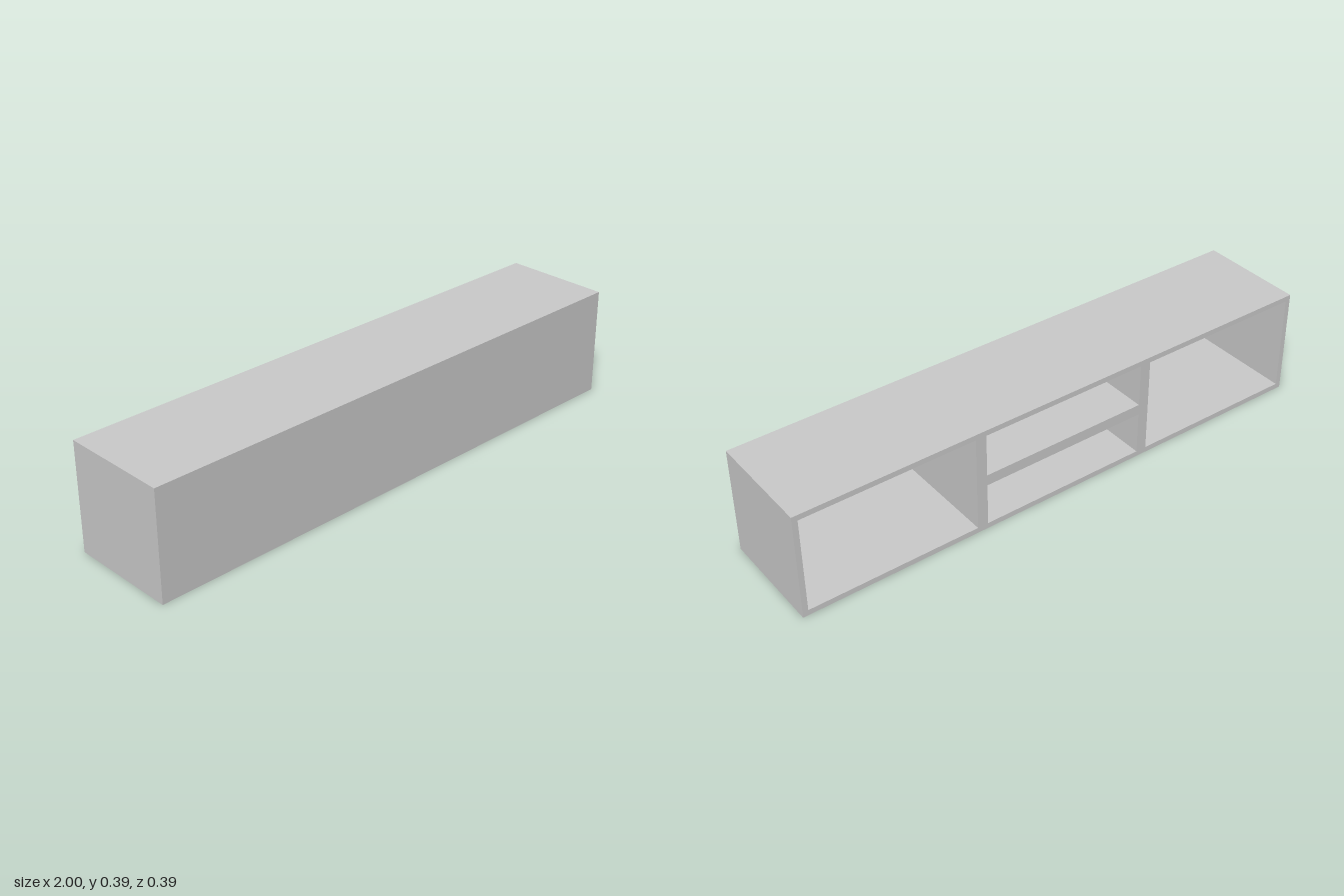
import * as THREE from 'three';

const W = 2, H = 0.392, D = 0.392; // outer size
const T = 0.02;                    // outer board thickness
const DIV = 0.04;                  // divider and shelf thickness
const PANEL = 0.003;               // front panel thickness

// Adds a rectangle to a path, from its lower corner and size
function rect(path, x, y, w, h) {
  path.moveTo(x, y);
  path.lineTo(x + w, y);
  path.lineTo(x + w, y + h);
  path.lineTo(x, y + h);
  path.closePath();
  return path;
}

export function createModel() {
  const group = new THREE.Group();
  group.name = 'shelfUnit';
  const material = new THREE.MeshStandardMaterial({ color: 0xcccccc });

  // Carcass: outer boards, dividers and middle shelf, open at the back
  const outline = rect(new THREE.Shape(), -W / 2, 0, W, H);
  const bayW = (W - 2 * T - 2 * DIV) / 3;
  const bayH = H - 2 * T;
  for (let i = 0; i < 3; i++) {
    const x = -W / 2 + T + i * (bayW + DIV);
    const rows = i === 1 ? 2 : 1; // the middle bay is split by a shelf
    const h = (bayH - (rows - 1) * DIV) / rows;
    for (let r = 0; r < rows; r++) {
      outline.holes.push(rect(new THREE.Path(), x, T + r * (h + DIV), bayW, h));
    }
  }
  const carcassGeometry = new THREE.ExtrudeGeometry(outline, { depth: D - PANEL, bevelEnabled: false });
  carcassGeometry.translate(0, 0, -D / 2);
  const carcass = new THREE.Mesh(carcassGeometry, material);
  carcass.name = 'carcass';
  group.add(carcass);

  // Thin panel closing the front
  const panel = new THREE.Mesh(new THREE.BoxGeometry(W, H, PANEL), material);
  panel.name = 'frontPanel';
  panel.position.set(0, H / 2, D / 2 - PANEL / 2);
  group.add(panel);

  return group;
}
